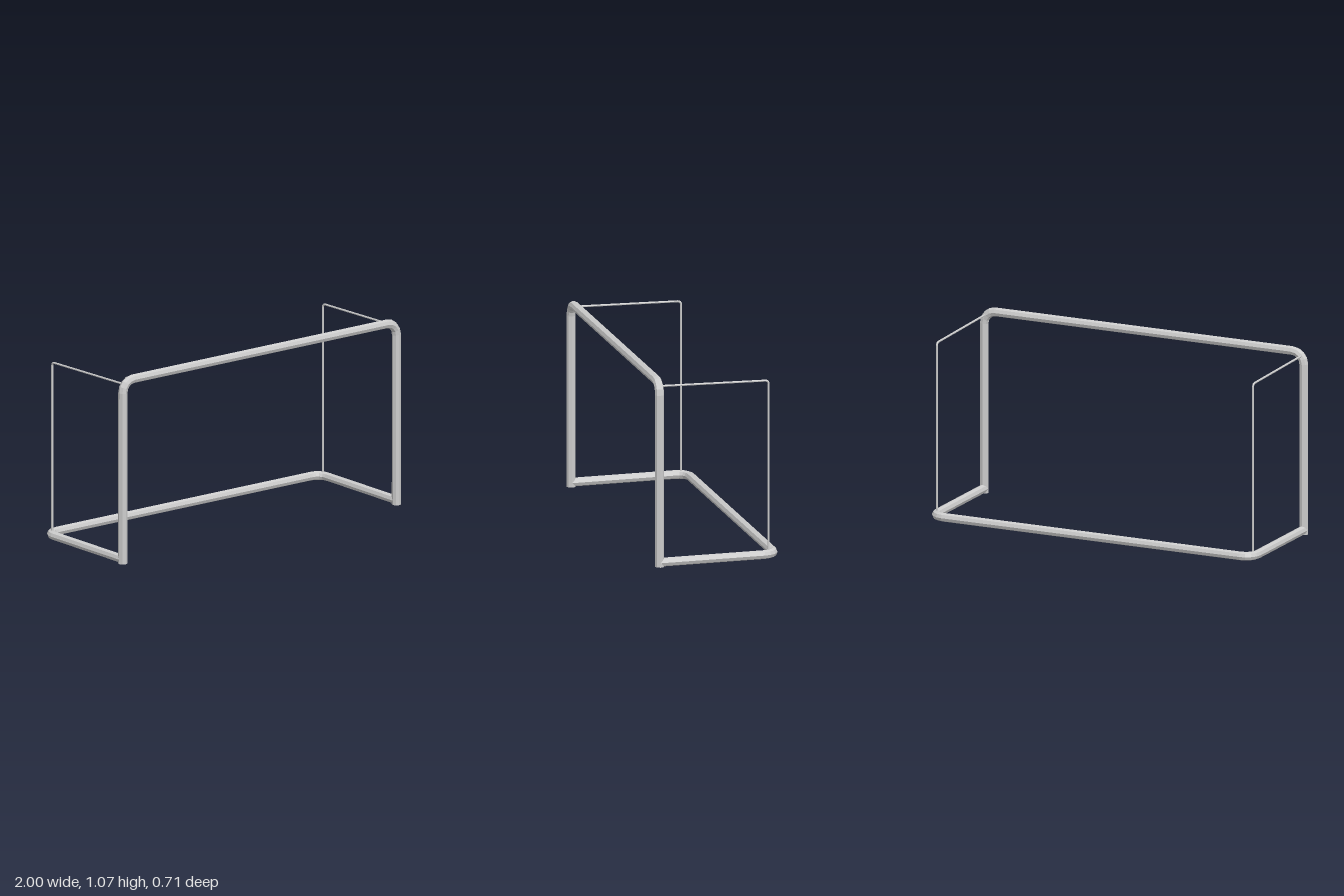
import * as THREE from 'three';

const V = (x, y, z) => new THREE.Vector3(x, y, z);

// Replace each inner corner of a polyline with a short arc-like curve
function roundPath(corners, radius, steps) {
  const pts = [corners[0]];
  for (let i = 1; i < corners.length - 1; i++) {
    const c = corners[i];
    const a = c.clone().add(corners[i - 1].clone().sub(c).setLength(radius));
    const b = c.clone().add(corners[i + 1].clone().sub(c).setLength(radius));
    const k = 0.448; // cubic handle that approximates a quarter circle
    const curve = new THREE.CubicBezierCurve3(a, a.clone().lerp(c, 1 - k), b.clone().lerp(c, 1 - k), b);
    pts.push(...curve.getPoints(steps));
  }
  pts.push(corners[corners.length - 1]);
  return pts;
}

// Sweep a polygonal pipe along a planar path, with closed ends
function pipe(name, path, normal, radius, sides, material) {
  const pos = [], index = [];
  const n = path.length;
  path.forEach((p, i) => {
    const before = path[Math.max(i - 1, 0)], after = path[Math.min(i + 1, n - 1)];
    const t = after.clone().sub(p).normalize().add(p.clone().sub(before).normalize()).normalize();
    const u = normal.clone().addScaledVector(t, -normal.dot(t)).normalize();
    const w = t.clone().cross(u);
    for (let s = 0; s < sides; s++) {
      const a = (s / sides) * Math.PI * 2;
      const q = p.clone().addScaledVector(u, Math.cos(a) * radius).addScaledVector(w, Math.sin(a) * radius);
      pos.push(q.x, q.y, q.z);
    }
  });
  for (let i = 0; i < n - 1; i++) {
    for (let s = 0; s < sides; s++) {
      const a = i * sides + s, b = i * sides + (s + 1) % sides;
      index.push(a, b, b + sides, a, b + sides, a + sides);
    }
  }
  const last = (n - 1) * sides;
  for (let s = 1; s < sides - 1; s++) {
    index.push(0, s + 1, s, last, last + s, last + s + 1);
  }
  const geo = new THREE.BufferGeometry();
  geo.setAttribute('position', new THREE.Float32BufferAttribute(pos, 3));
  geo.setIndex(index);
  const flat = geo.toNonIndexed();
  flat.computeVertexNormals();
  const mesh = new THREE.Mesh(flat, material);
  mesh.name = name;
  return mesh;
}

export function createModel() {
  const group = new THREE.Group();
  group.name = 'goalFrame';
  const metal = new THREE.MeshStandardMaterial({ color: 0xcccccc });
  metal.name = 'lightGreyMetal';

  const X = 0.975, Z = 0.33, R = 0.0255;

  // Posts and crossbar, one bent pipe
  const front = roundPath([V(-X, 0, Z), V(-X, 1.04, Z), V(X, 1.04, Z), V(X, 0, Z)], 0.07, 4);
  group.add(pipe('postsAndCrossbar', front, V(0, 0, 1), R, 8, metal));

  // Ground frame, rising slightly towards the back
  const base = roundPath([V(-X, 0.025, Z), V(-X, 0.034, -Z), V(X, 0.034, -Z), V(X, 0.025, Z)], 0.068, 4);
  group.add(pipe('groundFrame', base, V(0, 1, 0), 0.025, 8, metal));

  // Thin net stays on both sides
  for (const side of [-1, 1]) {
    const x = side * 0.965;
    const stay = roundPath([V(x, 1.019, Z), V(x, 1.014, -0.292), V(x, 0.035, -0.292)], 0.018, 4);
    group.add(pipe(side > 0 ? 'leftStay' : 'rightStay', stay, V(1, 0, 0), 0.006, 8, metal));
  }
  return group;
}
